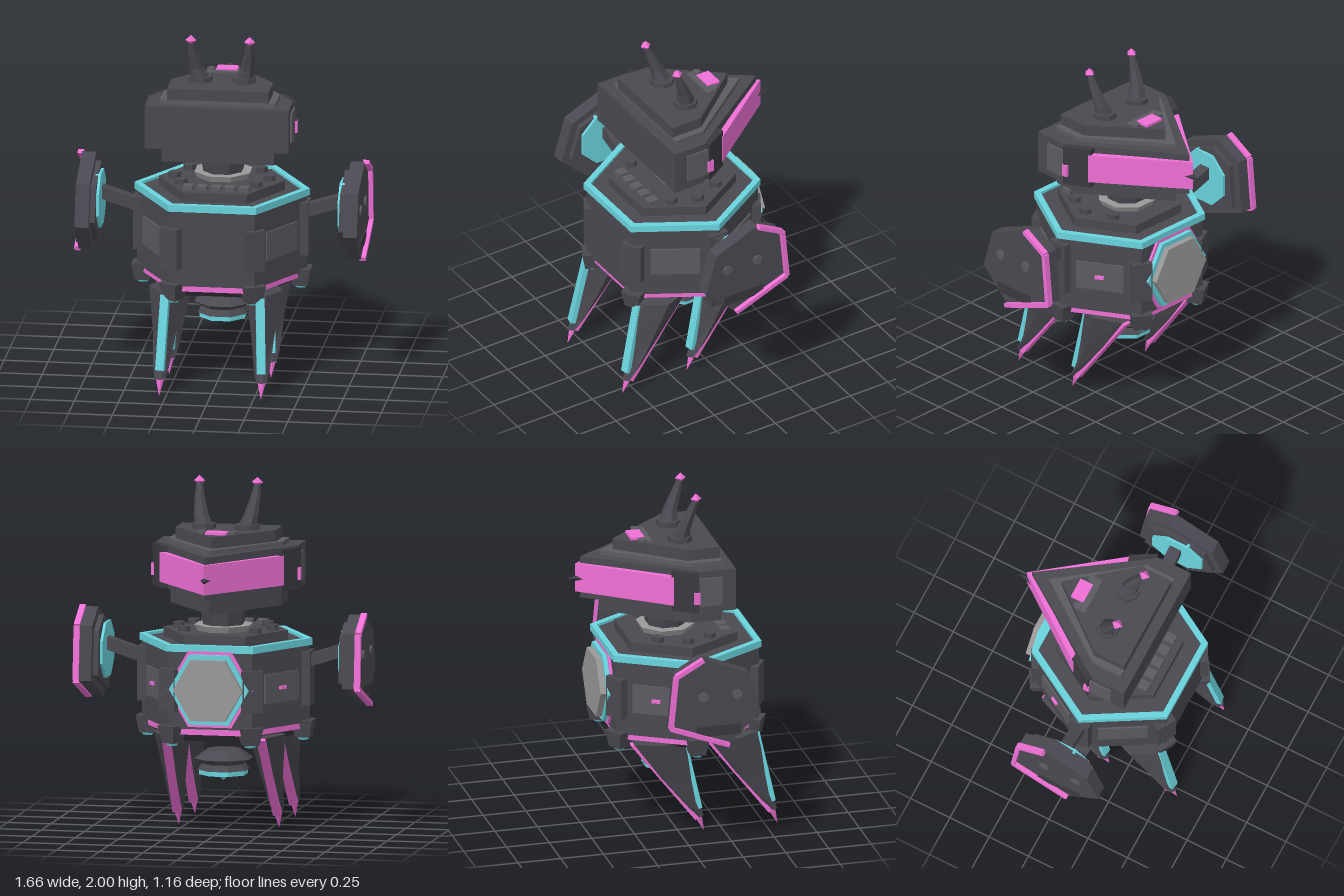
import * as THREE from 'three';

const mat = (color) => new THREE.MeshStandardMaterial({ color, flatShading: true });
const dark = mat(0x4a4951), darker = mat(0x3a393f), mid = mat(0x5c5b62);
const grey = mat(0x999999), pink = mat(0xf070d6), cyan = mat(0x6ad4de);

function add(parent, name, geo, material, x = 0, y = 0, z = 0) {
  const m = new THREE.Mesh(geo, material);
  m.name = name;
  m.position.set(x, y, z);
  parent.add(m);
  return m;
}
const box = (w, h, d) => new THREE.BoxGeometry(w, h, d);
const cyl = (r1, r0, h, n) => new THREE.CylinderGeometry(r1, r0, h, n).rotateY(Math.PI / n);

// Upright prism from [x, z] corners
function prism(pts, y0, y1, hole) {
  const v = (a) => a.map(([x, z]) => new THREE.Vector2(x, -z));
  const s = new THREE.Shape(v(pts));
  if (hole) s.holes.push(new THREE.Path(v(hole)));
  return new THREE.ExtrudeGeometry(s, { depth: y1 - y0, bevelEnabled: false })
    .rotateX(-Math.PI / 2).translate(0, y0, 0);
}

// Sideways prism from [z, y] corners, extruded along x
function sidePrism(pts, x0, x1) {
  const s = new THREE.Shape(pts.map(([z, y]) => new THREE.Vector2(-z, y)));
  return new THREE.ExtrudeGeometry(s, { depth: x1 - x0, bevelEnabled: false })
    .rotateY(Math.PI / 2).translate(x0, 0, 0);
}

// Skin over rings of [x, y, z], from the lowest ring up
function loft(rings) {
  const pos = [], n = rings[0].length, top = rings.length - 1;
  for (let k = 0; k < top; k++) for (let i = 0; i < n; i++) {
    const j = (i + 1) % n, a = rings[k], b = rings[k + 1];
    pos.push(...a[i], ...a[j], ...b[j], ...a[i], ...b[j], ...b[i]);
  }
  for (let i = 1; i < n - 1; i++) {
    pos.push(...rings[0][0], ...rings[0][i + 1], ...rings[0][i]);
    pos.push(...rings[top][0], ...rings[top][i], ...rings[top][i + 1]);
  }
  const g = new THREE.BufferGeometry();
  g.setAttribute('position', new THREE.Float32BufferAttribute(pos, 3));
  g.computeVertexNormals();
  return g;
}

// Straight bar between two points
function bar(parent, name, p, q, w, h, material) {
  const a = new THREE.Vector3(...p), b = new THREE.Vector3(...q);
  const m = add(parent, name, box(w, h, a.distanceTo(b)), material);
  m.position.copy(a).add(b).multiplyScalar(0.5);
  m.lookAt(b);
}

function pair(parent, name, build) {
  const left = new THREE.Group();
  left.name = 'left' + name;
  build(left);
  const right = left.clone();
  right.name = 'right' + name;
  right.scale.x = -1;
  parent.add(left, right);
}

const hex = (r) => Array.from({ length: 6 }, (_, i) =>
  [r * Math.cos(i * Math.PI / 3), -r * Math.sin(i * Math.PI / 3)]);

function buildBody() {
  const g = new THREE.Group();
  g.name = 'body';
  g.position.z = 0.06;
  add(g, 'hull', prism(hex(0.485), 0.62, 1.085), dark);
  add(g, 'topRim', prism(hex(0.5), 1.06, 1.1, hex(0.46)), cyan);
  add(g, 'lowerTrim', prism(hex(0.47), 0.585, 0.625), pink);
  add(g, 'underside', cyl(0.44, 0.38, 0.05, 6), darker, 0, 0.565);
  add(g, 'bellyPlate', cyl(0.13, 0.11, 0.04, 8), grey, 0, 0.55, -0.06);
  for (let i = 0; i < 6; i++) {
    // Corner posts and leg sockets
    const c = new THREE.Group();
    c.name = 'corner';
    c.rotation.y = Math.PI / 6 + i * Math.PI / 3;
    add(c, 'post', box(0.12, 0.24, 0.05), dark, 0, 0.84, 0.475);
    add(c, 'socket', cyl(0.085, 0.06, 0.1, 4), dark, 0, 0.585, 0.45);
    add(c, 'socketCap', cyl(0.04, 0.03, 0.02, 6), cyan, 0, 0.53, 0.45);
    g.add(c);
    // Panels on the four slanted sides
    if (i % 3 === 0) continue;
    const f = new THREE.Group();
    f.name = 'sidePanel';
    f.rotation.y = i * Math.PI / 3;
    add(f, 'panel', box(0.28, 0.17, 0.02), mid, 0, 0.845, 0.42);
    if (i === 2 || i === 4)
      add(f, 'light', box(0.05, 0.018, 0.03), pink, 0, 0.845, 0.43);
    g.add(f);
  }
  // Deck with small fittings
  add(g, 'deck', prism(hex(0.36), 1.08, 1.14), dark);
  for (let i = -2; i <= 2; i++)
    add(g, 'deckKey', box(0.055, 0.03, 0.06), mid, i * 0.08, 1.15, 0.24);
  for (const s of [-1, 1]) for (const z of [-0.16, 0, 0.14])
    add(g, 'deckStud', cyl(0.035, 0.035, 0.04, 6), dark, s * (0.27 - Math.abs(z) * 0.4), 1.15, z);
  // Hexagonal rear hatch
  [[0.25, 0.05, pink], [0.23, 0.075, cyan], [0.2, 0.11, grey]].forEach(([r, d, m], i) =>
    add(g, ['hatchTrim', 'hatchRing', 'hatch'][i],
      prism(hex(r), 0, d).rotateX(-Math.PI / 2), m, 0, 0.85, -0.385));
  return g;
}

function buildHead() {
  const g = new THREE.Group();
  g.name = 'head';
  const wedge = (x, front, side, tip) => [[-x, front], [x, front], [x, side], [0, tip], [-x, side]];
  add(g, 'neckRing', cyl(0.17, 0.15, 0.04, 8), grey, 0, 1.155);
  add(g, 'neck', cyl(0.14, 0.115, 0.14, 8), dark, 0, 1.23);
  add(g, 'jaw', prism(wedge(0.32, 0.24, 0.06, -0.39), 1.28, 1.38), dark);
  add(g, 'skull', prism(wedge(0.41, 0.3, 0.1, -0.5), 1.37, 1.62), dark);
  add(g, 'crownStep', prism(wedge(0.33, 0.24, 0.06, -0.39), 1.62, 1.645), mid);
  add(g, 'crown', prism(wedge(0.29, 0.24, 0.05, -0.31), 1.64, 1.71), dark);
  add(g, 'crownLight', box(0.12, 0.02, 0.08), pink, 0, 1.715, -0.18);
  add(g, 'crownBlock', box(0.22, 0.015, 0.05), mid, 0, 1.71, -0.13);
  add(g, 'rearSpike', new THREE.ConeGeometry(0.04, 0.12, 4).rotateX(-Math.PI / 2), darker, 0, 1.49, -0.52);
  pair(g, 'HeadSide', (s) => {
    add(s, 'visorPanel', prism([[0.33, -0.03], [0, -0.49], [0, -0.53], [0.36, -0.05]].reverse(), 1.41, 1.58), pink);
    add(s, 'cheek', prism([[0.4, 0.09], [0.43, 0.08], [0.35, -0.06], [0.31, -0.05]], 1.375, 1.615), darker);
    add(s, 'cheekPanel', box(0.02, 0.17, 0.14), mid, 0.41, 1.495, 0.15);
    add(s, 'cheekLight', box(0.02, 0.07, 0.035), pink, 0.422, 1.465, 0.07);
    // Curved horn with a bright tip
    add(s, 'hornBase', cyl(0.07, 0.07, 0.03, 8), dark, 0.125, 1.725, 0.05);
    const ring = ([x, y, z, r]) => hex(r).map(([a, b]) => [x + a, y, z + b]);
    add(s, 'horn', loft([[0.125, 1.72, 0.05, 0.058], [0.145, 1.79, 0.065, 0.042],
      [0.16, 1.88, 0.1, 0.03], [0.167, 1.96, 0.13, 0.018]].map(ring)), dark);
    add(s, 'hornTip', new THREE.OctahedronGeometry(0.032), pink, 0.167, 1.968, 0.132);
    add(s, 'crownStud', cyl(0.025, 0.025, 0.02, 6), mid, 0.09, 1.715, -0.16);
  });
  return g;
}

function buildArm(g) {
  const outline = [[0, 1.25], [0.27, 1.14], [0.34, 0.9], [0.15, 0.72], [-0.19, 0.85], [-0.16, 1.16]];
  const inset = outline.map(([z, y]) => [0.07 + (z - 0.07) * 0.82, 0.99 + (y - 0.99) * 0.82]);
  bar(g, 'arm', [0.44, 0.96, 0.06], [0.72, 1.05, 0.06], 0.07, 0.07, dark);
  add(g, 'armMount', box(0.06, 0.12, 0.12), dark, 0.47, 0.97, 0.06);
  add(g, 'shieldHub', cyl(0.17, 0.17, 0.03, 8).rotateZ(Math.PI / 2), cyan, 0.695, 1.0, 0.07);
  add(g, 'shieldBack', sidePrism(inset.slice().reverse(), 0.695, 0.73), dark);
  add(g, 'shield', sidePrism(outline.slice().reverse(), 0.725, 0.805), dark);
  const edge = [outline[0], outline[5], outline[4], outline[3]];
  for (let i = 0; i < 3; i++)
    bar(g, 'shieldTrim', [0.813, edge[i][1], edge[i][0]], [0.813, edge[i + 1][1], edge[i + 1][0]], 0.035, 0.025, pink);
  for (const z of [0.2, 0])
    add(g, 'rivet', cyl(0.03, 0.03, 0.015, 8).rotateZ(Math.PI / 2), mid, 0.808, 1.02, z);
  add(g, 'shieldSlot', box(0.01, 0.06, 0.26), darker, 0.806, 0.81, 0.09);
}

function buildLeg(g) {
  // Six-sided ring: centre x, height, front z, widest z, back z, width
  const ring = ([x, y, f, m, b, w]) => [[0.25, f], [1, m], [0.4, b], [-0.4, b], [-1, m], [-0.25, f]]
    .map(([k, z]) => [x + k * w, y, z]);
  add(g, 'legShell', loft([[0.29, 0.09, 0.572, 0.55, 0.52, 0.03], [0.287, 0.15, 0.548, 0.51, 0.47, 0.045],
    [0.28, 0.32, 0.51, 0.42, 0.34, 0.065], [0.275, 0.57, 0.455, 0.32, 0.16, 0.105]].map(ring)), dark);
  bar(g, 'frontStrip', [0.27, 0.56, 0.46], [0.288, 0.14, 0.55], 0.05, 0.03, cyan);
  bar(g, 'backStrip', [0.275, 0.56, 0.16], [0.29, 0.08, 0.53], 0.05, 0.025, pink);
  add(g, 'claw', loft([ring([0.29, 0, 0.576, 0.575, 0.574, 0.001]),
    ring([0.29, 0.1, 0.56, 0.54, 0.51, 0.026])]), pink);
}

export function createModel() {
  const model = new THREE.Group();
  model.name = 'robot';
  model.add(buildBody(), buildHead());
  pair(model, 'Arm', buildArm);
  pair(model, 'FrontLeg', buildLeg);
  pair(model, 'RearLeg', (g) => {
    buildLeg(g);
    g.position.z = -0.43;
  });

  // Hovering lamp under the belly
  const lamp = new THREE.Group();
  lamp.name = 'lamp';
  const profile = [[0, 0.345], [0.15, 0.345], [0.125, 0.38], [0.17, 0.41], [0.1, 0.46], [0, 0.46]]
    .map(([r, y]) => new THREE.Vector2(r, y));
  add(lamp, 'lampShell', new THREE.LatheGeometry(profile, 8).rotateY(Math.PI / 8), dark);
  add(lamp, 'lampDisc', cyl(0.14, 0.14, 0.035, 8), cyan, 0, 0.335);
  add(lamp, 'lampTip', new THREE.ConeGeometry(0.045, 0.04, 6).rotateX(Math.PI), cyan, 0, 0.3);
  model.add(lamp);
  return model;
}
